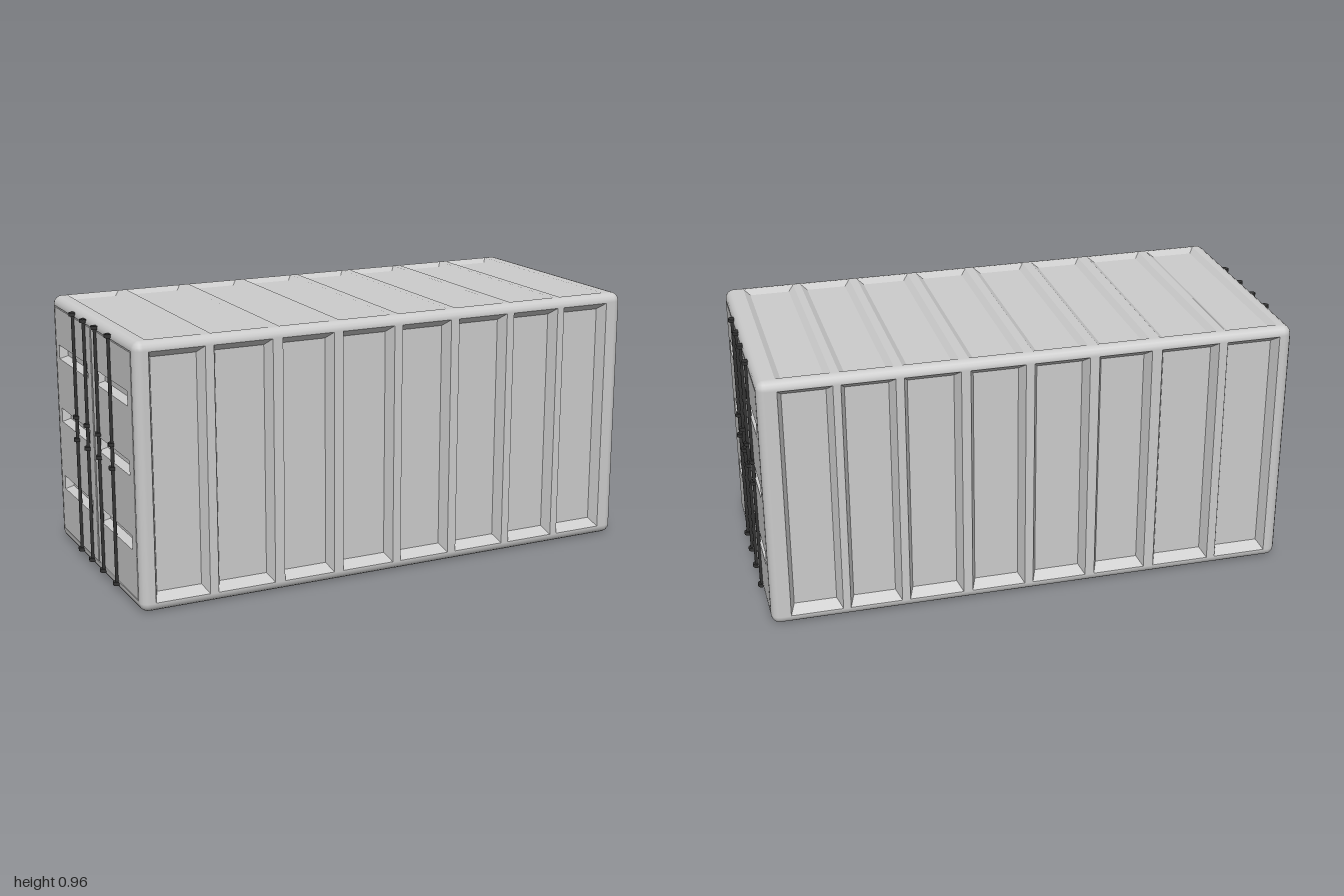
import * as THREE from 'three';
import { mergeGeometries } from 'three/addons/utils/BufferGeometryUtils.js';

const HX = 0.982, HY = 0.4825, HZ = 0.465, R = 0.033; // half sizes, edge radius
const grey = new THREE.MeshStandardMaterial({ color: 0xcccccc });
const dark = new THREE.MeshStandardMaterial({ color: 0x333333 });

const corners = (x0, x1, y0, y1) => [[x0, y0], [x1, y0], [x1, y1], [x0, y1]];

// Flat plate facing +z with sloped recesses; a recess floor may hold further recesses
function plate([x0, x1, y0, y1], z, recesses, out = []) {
  const toPoints = (b) => corners(...b).map(([x, y]) => new THREE.Vector2(x, y));
  const shape = new THREE.Shape(toPoints([x0, x1, y0, y1]));
  for (const { box, inset: [ix, iy], depth, inner = [] } of recesses) {
    shape.holes.push(new THREE.Path(toPoints(box).reverse()));
    const floor = [box[0] + ix, box[1] - ix, box[2] + iy, box[3] - iy];
    const a = corners(...box), b = corners(...floor), pos = [];
    for (let k = 0; k < 4; k++) {
      const n = (k + 1) % 4;
      const A = [...a[k], z], B = [...a[n], z], C = [...b[n], z - depth], D = [...b[k], z - depth];
      pos.push(...A, ...B, ...C, ...A, ...C, ...D);
    }
    const walls = new THREE.BufferGeometry();
    walls.setAttribute('position', new THREE.Float32BufferAttribute(pos, 3));
    walls.computeVertexNormals();
    out.push(walls);
    plate(floor, z - depth, inner, out);
  }
  const flat = new THREE.ShapeGeometry(shape).toNonIndexed().translate(0, 0, z);
  flat.deleteAttribute('uv');
  out.push(flat);
  return out;
}

function addMesh(parent, name, geometry, material = grey) {
  const mesh = new THREE.Mesh(geometry, material);
  mesh.name = name;
  parent.add(mesh);
  return mesh;
}

// Rounded edges and corners of the frame
function frameGeometry() {
  const parts = [];
  const x = HX - R, y = HY - R, z = HZ - R, q = Math.PI / 2;
  const axes = [
    [y, new THREE.Matrix4()],
    [x, new THREE.Matrix4().makeRotationZ(q)],
    [z, new THREE.Matrix4().makeRotationX(q)],
  ];
  for (let k = 0; k < 4; k++) {
    const mid = (k + 0.5) * q;
    for (const [half, turn] of axes) {
      const c = new THREE.Vector3(Math.sign(Math.sin(mid)), 0, Math.sign(Math.cos(mid))).applyMatrix4(turn);
      c.set(Math.round(c.x) * x, Math.round(c.y) * y, Math.round(c.z) * z);
      parts.push(new THREE.CylinderGeometry(R, R, half * 2, 4, 1, true, k * q, q)
        .applyMatrix4(turn).translate(c.x, c.y, c.z));
    }
    for (const s of [1, -1]) {
      parts.push(new THREE.SphereGeometry(R, 4, 4, k * q, q, s > 0 ? 0 : q, q)
        .translate(-Math.sign(Math.cos(mid)) * x, s * y, Math.sign(Math.sin(mid)) * z));
    }
  }
  return mergeGeometries(parts);
}

// Spans of the corrugated bays along the length
const bays = [[-0.93, -0.727], [-0.695, -0.476], [-0.438, -0.24], [-0.205, 0],
  [0.032, 0.233], [0.267, 0.47], [0.5, 0.692], [0.72, 0.912]];

function bayPlate(halfHeight, z, y0, y1, inset, depth, flip = 1) {
  const recesses = bays.map(([a, b]) => ({
    box: flip > 0 ? [a, b, y0, y1] : [-b, -a, y0, y1], inset, depth,
  }));
  return mergeGeometries(plate([R - HX, HX - R, -halfHeight, halfHeight], z, recesses));
}

// One end: two doors with slots, plus four locking rods, facing +z before turning
function createDoorEnd() {
  const end = new THREE.Group();
  const slots = (a, b) => [0.213, 0.483, 0.73].map((y) => ({
    box: [a, b, y - HY, y + 0.053 - HY], inset: [0.012, 0.012], depth: 0.03,
  }));
  // Doors stand flush inside a fine seam
  const seam = 0.004;
  const door = (a, b, inner) => ({ box: [a, b, 0.043 - HY, 0.925 - HY], inset: [0, 0], depth: -seam, inner });
  addMesh(end, 'doors', mergeGeometries(plate([R - HZ, HZ - R, R - HY, HY - R], HX, [{
    box: [-0.431, 0.431, 0.038 - HY, 0.93 - HY], inset: [0, 0], depth: seam,
    inner: [
      door(-0.426, -0.006, slots(-0.39, -0.047)),
      door(0.005, 0.426, slots(0.047, 0.383)),
    ],
  }]))).position.y = HY;
  for (const x of [-0.193, -0.065, 0.063, 0.21]) {
    const rod = new THREE.Group();
    rod.name = 'lockingRod';
    rod.position.set(x, 0, HX + 0.003);
    addMesh(rod, 'rod', new THREE.CylinderGeometry(0.007, 0.007, 0.91, 10), dark).position.y = 0.485;
    for (const y of [0.031, 0.463, 0.55, 0.94]) {
      addMesh(rod, 'collar', new THREE.CylinderGeometry(0.015, 0.015, 0.013, 12), dark).position.y = y;
    }
    end.add(rod);
  }
  return end;
}

export function createModel() {
  const model = new THREE.Group();
  model.name = 'cargoContainer';
  const shell = new THREE.Group();
  shell.name = 'shell';
  shell.position.y = HY;
  model.add(shell);

  addMesh(shell, 'frame', frameGeometry());

  // Long walls
  const wall = (flip) => bayPlate(HY - R, HZ, 0.035 - HY, 0.93 - HY, [0.018, 0.027], 0.04, flip);
  addMesh(shell, 'frontWall', wall(1));
  addMesh(shell, 'backWall', wall(-1)).rotation.y = Math.PI;

  // Roof and floor
  addMesh(shell, 'roof', bayPlate(HZ - R, HY, -0.43, 0.43, [0.022, 0.03], 0.015)).rotation.x = -Math.PI / 2;
  addMesh(shell, 'floor', bayPlate(HZ - R, HY, -0.43, 0.43, [0.018, 0.027], 0.04)).rotation.x = Math.PI / 2;

  // Door ends
  for (const [name, s] of [['leftEnd', 1], ['rightEnd', -1]]) {
    const end = createDoorEnd();
    end.name = name;
    end.rotation.y = s * Math.PI / 2;
    model.add(end);
  }
  return model;
}
